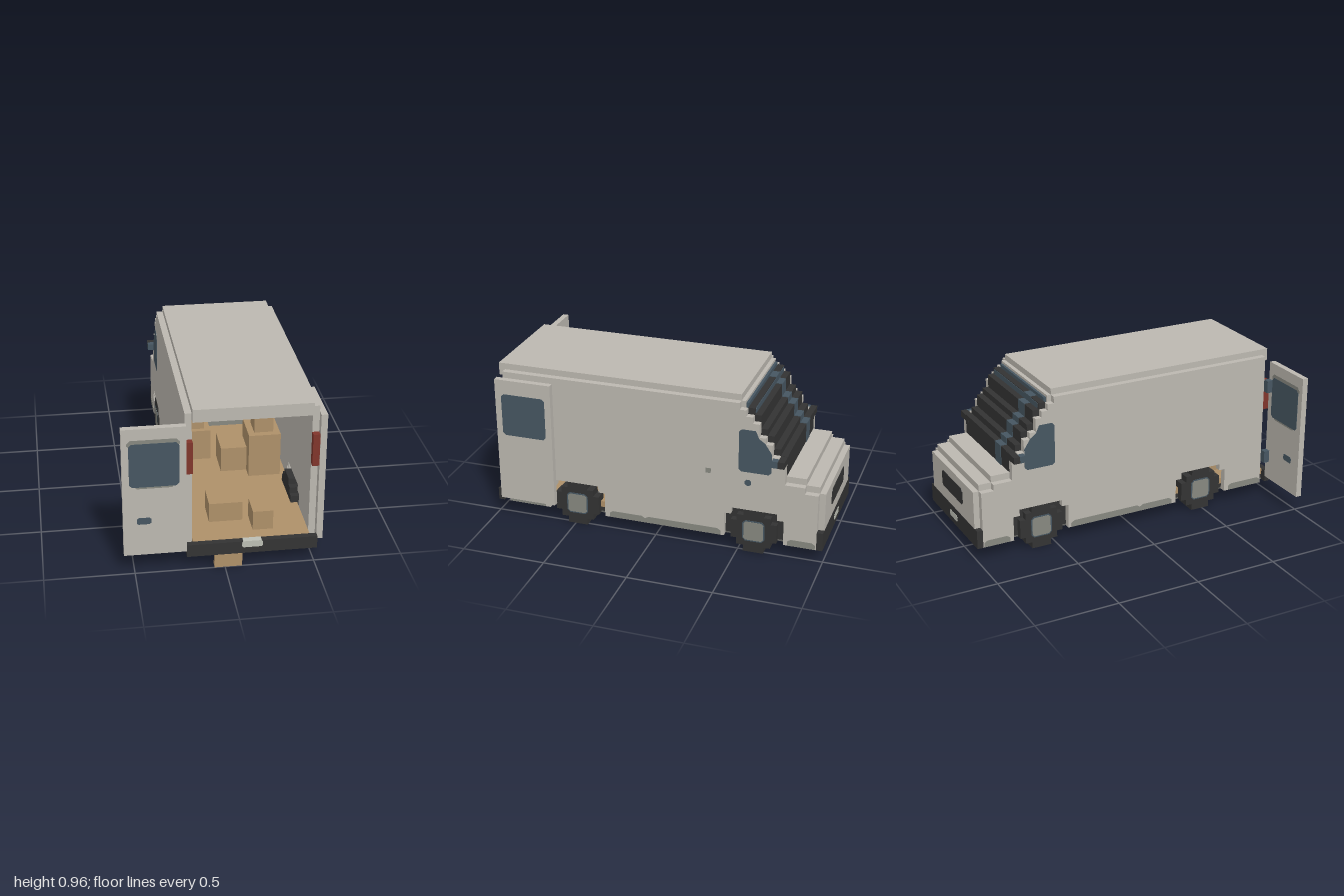
import * as THREE from 'three';

const mat = (name, color) => Object.assign(new THREE.MeshStandardMaterial({ color }), { name });
const V = 2 / 52; // block size
const XL = -0.212, XR = 0.517, IL = -0.174, IR = 0.479, CX = (XL + XR) / 2;

export function createModel() {
  const M = {
    body: mat('bodyBeige', 0xbcb8b0), dark: mat('darkRubber', 0x333333), grey: mat('trimGrey', 0x878880),
    blue: mat('glassBlue', 0x465661), tan: mat('cardboardTan', 0xae9069), red: mat('lampRed', 0x80352b),
    plate: mat('plateGrey', 0xbcbeb4), under: mat('undersideGrey', 0x646460),
  };
  const van = new THREE.Group();
  van.name = 'deliveryVan';

  const box = (name, m, x0, x1, y0, y1, z0, z1, parent = van) => {
    const mesh = new THREE.Mesh(new THREE.BoxGeometry(x1 - x0, y1 - y0, z1 - z0), m);
    mesh.position.set((x0 + x1) / 2, (y0 + y1) / 2, (z0 + z1) / 2);
    mesh.name = name;
    parent.add(mesh);
  };
  const extrude = (pts, depth) => new THREE.ExtrudeGeometry(
    new THREE.Shape(pts.map(p => new THREE.Vector2(...p))), { depth, bevelEnabled: false });
  // slab whose outline lies in (z, y), spanning x0..x1
  const sideSlab = (name, m, pts, x0, x1, parent = van) => {
    const mesh = new THREE.Mesh(extrude(pts, x1 - x0).rotateY(-Math.PI / 2).translate(x1, 0, 0), m);
    mesh.name = name;
    parent.add(mesh);
  };
  // slab whose outline lies in (x, y), spanning z0..z1
  const faceSlab = (name, m, pts, z0, z1, parent = van) => {
    const mesh = new THREE.Mesh(extrude(pts, z1 - z0).translate(0, 0, z0), m);
    mesh.name = name;
    parent.add(mesh);
  };
  // rectangle outline with cut corners
  const cutRect = (a0, a1, b0, b1, c = 0.018) => [
    [a0 + c, b0], [a1 - c, b0], [a1, b0 + c], [a1, b1 - c], [a1 - c, b1], [a0 + c, b1], [a0, b1 - c], [a0, b0 + c]];

  // side walls: stepped wheel arches below, stepped windscreen pillar at the front
  const arch = c => [[c - 0.175, 0.08], [c - 0.175, 0.23], [c - 0.135, 0.23], [c - 0.135, 0.27],
    [c + 0.135, 0.27], [c + 0.135, 0.23], [c + 0.175, 0.23], [c + 0.175, 0.08]];
  const screenTops = [0.925, 0.888, 0.85, 0.771, 0.734, 0.66, 0.62];
  const pillar = screenTops.flatMap((t, i) => [[-0.5 - i * V, t - V], [-0.5 - (i + 1) * V, t - V]]);
  const wall = [[-0.962, 0.08], ...arch(-0.595), ...arch(0.485), [0.925, 0.08], [0.925, 0.925],
    [-0.5, 0.925], ...pillar, [-0.77, 0.462], [-0.885, 0.462], [-0.885, 0.423], [-0.962, 0.423]];
  sideSlab('rightWall', M.body, wall, XL, IL);
  sideSlab('leftWall', M.body, wall, IR, XR);

  // roof, floor and cab
  box('roof', M.body, IL, IR, 0.888, 0.962, -0.5, 0.962);
  box('underside', M.under, IL, IR, 0.08, 0.09, -0.962, 0.962);
  box('chassis', M.dark, IL, IR, 0.09, 0.116, -0.962, 0.962);
  box('cargoFloor', M.tan, IL, IR, 0.116, 0.154, -0.4, 0.962);
  box('partition', M.grey, IL, IR, 0.116, 0.888, -0.42, -0.4);
  box('wheelWellBlock', M.dark, IL, IR, 0.116, 0.3, -0.8, -0.42);

  // stepped windscreen with a blue band below the roof and a reflection strip
  box('roofLip', M.body, IL, IR, 0.8, 0.925, -0.524, -0.5);
  box('windscreenTopBand', M.blue, IL + 0.015, IR - 0.015, 0.8, 0.91, -0.5 - V, -0.524);
  screenTops.slice(1).forEach((top, i) => {
    const z = -0.5 - (i + 1) * V;
    const bottom = Math.max(top - 0.13, 0.49);
    box('windscreenStep', M.dark, IL, IR, bottom, top, z - V, z);
    if (i === 0) faceSlab('blueBand', M.blue, cutRect(IL + 0.015, IR - 0.015, 0.852, 0.884, 0.004), z - V - 0.003, z - V);
    box('reflection', M.blue, -0.06, 0.022, bottom + 0.01, top + 0.003, z - V - 0.003, z);
  });

  // bonnet, nose and bumpers
  box('bonnetUpper', M.body, IL, IR, 0.3, 0.5, -0.885, -0.74);
  box('bonnetLower', M.body, IL, IR, 0.116, 0.462, -0.962, -0.885);
  box('nosePanel', M.body, IL, IR, 0.19, 0.423, -0.997, -0.962);
  faceSlab('grille', M.dark, cutRect(-0.007, 0.315, 0.27, 0.37, 0.015), -1, -0.996);
  box('frontBumper', M.dark, XL, XR, 0.08, 0.192, -0.998, -0.962);
  faceSlab('frontPlate', M.plate, cutRect(CX - 0.06, CX + 0.06, 0.115, 0.153, 0.01), -1, -0.995);
  box('rearBumper', M.dark, XL, XR, 0.08, 0.154, 0.962, 0.998);
  faceSlab('rearPlate', M.plate, cutRect(CX - 0.058, CX + 0.058, 0.117, 0.156, 0.008), 0.962, 1);
  box('rearStep', M.tan, -0.058, 0.096, 0, 0.08, 0.962, 1);

  // wheels: stacked rows form a blocky disc
  const rows = [[0, 0.04, 0.06], [0.04, 0.08, 0.1], [0.08, 0.195, 0.135], [0.195, 0.233, 0.1], [0.233, 0.27, 0.06]];
  const outline = c => [...rows.flatMap(([a, b, w]) => [[c + w, a], [c + w, b]]),
    ...rows.slice().reverse().flatMap(([a, b, w]) => [[c - w, b], [c - w, a]])];
  for (const side of [-1, 1]) {
    const out = CX + side * 0.3645;
    // x range between two distances outward from the side of the van
    const span = (a, b) => [Math.min(out + side * a, out + side * b), Math.max(out + side * a, out + side * b)];
    for (const c of [-0.595, 0.485]) {
      const wheel = new THREE.Group();
      wheel.name = 'wheel';
      van.add(wheel);
      sideSlab('tyre', M.dark, outline(c), ...span(-0.077, 0), wheel);
      sideSlab('rim', M.blue, cutRect(c - 0.066, c + 0.066, 0.07, 0.203), ...span(-0.003, 0.002), wheel);
      sideSlab('hub', M.grey, cutRect(c - 0.058, c + 0.058, 0.077, 0.195, 0.012), ...span(-0.003, 0.003), wheel);
    }
    // cab window and sills
    const skin = span(-0.002, 0.002);
    sideSlab('cabWindow', M.blue, [[-0.5, 0.525], [-0.5, 0.755], [-0.515, 0.77], [-0.595, 0.77], [-0.615, 0.725],
      [-0.65, 0.7], [-0.69, 0.64], [-0.69, 0.525], [-0.675, 0.51], [-0.515, 0.51]], ...skin);
    for (const [a, b] of [[0.06, 0.28], [-0.4, 0.06], [-0.955, -0.795], [0.69, 0.92]])
      sideSlab('sill', M.grey, [[a, 0.081], [b, 0.081], [b, 0.108], [b - 0.02, 0.121], [a + 0.02, 0.121], [a, 0.108]], ...skin);
    // tail lamps and mirrors
    box('tailLamp', M.red, ...span(-V, 0), 0.58, 0.77, 0.925, 0.962);
    box('mirrorArm', M.dark, ...span(-0.075, V), 0.578, 0.618, -0.771, -0.733);
    box('mirrorGlass', M.blue, ...span(0, V), 0.578, 0.618, -0.733, -0.698);
  }
  // side handles
  box('slidingHandle', M.grey, XR - 0.002, XR + 0.002, 0.47, 0.5, -0.338, -0.308);
  sideSlab('cabHandle', M.blue, cutRect(-0.575, -0.538, 0.425, 0.462, 0.01), XR - 0.002, XR + 0.002);

  // open rear doors, window glass on both faces
  const makeDoor = name => {
    const door = new THREE.Group();
    door.name = name;
    van.add(door);
    box('doorPanel', M.body, -0.173, 0.173, 0.117, 0.888, -0.018, 0.018, door);
    faceSlab('doorWindow', M.blue, cutRect(-0.135, 0.135, 0.54, 0.8, 0.016), -0.02, 0.02, door);
    return door;
  };
  const openDoor = makeDoor('rightRearDoor');
  openDoor.position.set(-0.385, 0, 0.98);
  faceSlab('windowTrim', M.grey, cutRect(-0.145, 0.14, 0.772, 0.822, 0.02), -0.019, 0.019, openDoor);
  faceSlab('windowSill', M.grey, cutRect(-0.1, 0.1, 0.53, 0.55, 0.005), -0.019, 0.019, openDoor);
  faceSlab('doorHandle', M.blue, cutRect(-0.098, -0.02, 0.31, 0.35, 0.008), -0.02, 0.02, openDoor);
  const folded = makeDoor('leftRearDoor');
  folded.position.set(0.536, 0, 0.789);
  folded.rotation.y = Math.PI / 2;
  for (const y of [0.23, 0.7]) box('doorHinge', M.blue, XL - V, XL, y, y + 0.077, 0.925, 0.962);

  // cargo boxes: x0, x1, y0, y1, z0, z1
  [[-0.135, 0.055, 0.154, 0.347, -0.2, 0.03], [-0.135, 0.018, 0.347, 0.501, -0.18, 0.0],
    [-0.058, 0.132, 0.154, 0.27, 0.6, 0.77], [0.172, 0.287, 0.154, 0.27, 0.73, 0.885],
    [0.25, 0.441, 0.154, 0.424, 0.05, 0.28], [0.288, 0.402, 0.424, 0.54, 0.1, 0.24],
    [0.095, 0.25, 0.154, 0.308, 0.0, 0.2]].forEach(b => box('cargoBox', M.tan, ...b));

  return van;
}
